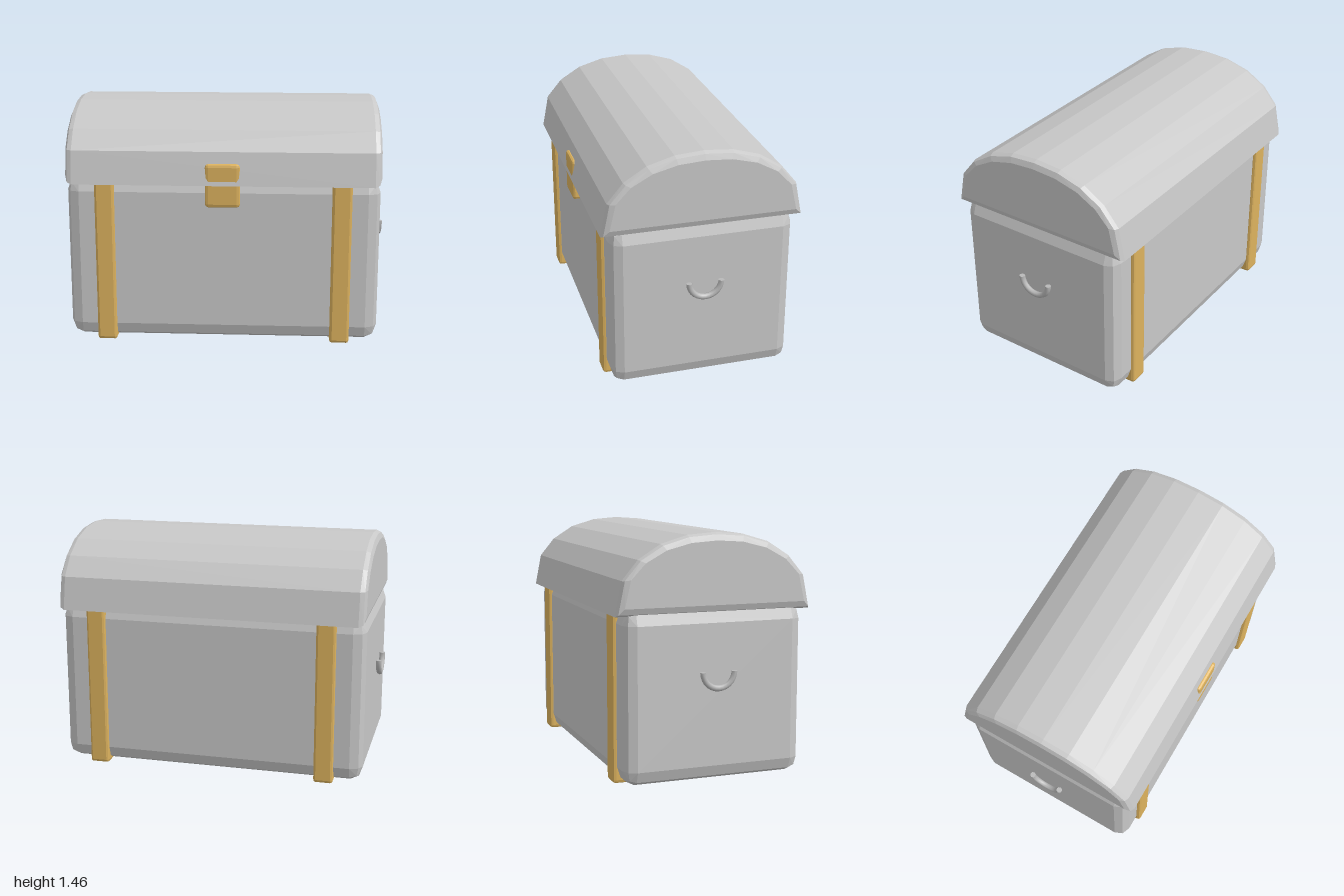
import * as THREE from 'three';
import { ConvexGeometry } from 'three/addons/geometries/ConvexGeometry.js';

const grey = new THREE.MeshStandardMaterial({ color: 0xc8c8c8 });
grey.name = 'chestGrey';
const gold = new THREE.MeshStandardMaterial({ color: 0xdcb25e });
gold.name = 'brassGold';
const iron = new THREE.MeshStandardMaterial({ color: 0xb8b8b8 });
iron.name = 'handleIron';
iron.side = THREE.DoubleSide;

// Box given by its limits, with two-step bevels of radius (rx, ry, rz)
function bevelBox([x0, x1], [y0, y1], [z0, z1], [rx, ry, rz]) {
  const dirs = [[1, 0, 0], [0, 1, 0], [0, 0, 1], [1, 1, 0], [1, 0, 1], [0, 1, 1], [1, 1, 1]];
  const points = [];
  for (const sx of [-1, 1]) for (const sy of [-1, 1]) for (const sz of [-1, 1]) {
    for (const d of dirs) {
      const l = Math.hypot(...d);
      points.push(new THREE.Vector3(
        (x0 + x1) / 2 + sx * ((x1 - x0) / 2 - rx + rx * d[0] / l),
        (y0 + y1) / 2 + sy * ((y1 - y0) / 2 - ry + ry * d[1] / l),
        (z0 + z1) / 2 + sz * ((z1 - z0) / 2 - rz + rz * d[2] / l)));
    }
  }
  return new ConvexGeometry(points);
}

// Arched lid: a half profile mirrored in z, shrinking towards both ends
function lidGeometry() {
  const half = [[0.6, 1.0], [0.56, 1.2], [0.465, 1.315], [0.33, 1.4], [0.17, 1.447], [0, 1.46]];
  const rings = [[0.91, 0], [0.937, 0.012], [0.95, 0.046]];
  const points = [];
  for (const [x, inset] of rings) {
    const sz = 1 - inset / 0.6, sy = 1 - inset / 0.23;
    for (const [z, y] of half) {
      for (const sx of [-1, 1]) for (const s of z ? [-1, 1] : [1]) {
        points.push(new THREE.Vector3(sx * x, 1.23 + (y - 1.23) * sy, s * z * sz));
      }
    }
  }
  return new ConvexGeometry(points);
}

export function createModel() {
  const group = new THREE.Group();
  group.name = 'chest';
  const add = (name, geometry, material) => {
    const mesh = new THREE.Mesh(geometry, material);
    mesh.name = name;
    group.add(mesh);
    return mesh;
  };

  add('body', bevelBox([-0.95, 0.95], [0.015, 1.035], [-0.55, 0.55], [0.075, 0.09, 0.07]), grey);
  add('lid', lidGeometry(), grey);
  add('lock', bevelBox([-0.105, 0.105], [0.865, 1.13], [0.53, 0.595], [0.02, 0.02, 0.015]), gold);

  for (const [side, s] of [['left', 1], ['right', -1]]) {
    // Strap wrapping the body, its top hidden under the lid
    add(side + 'Strap', bevelBox([s * 0.718 - 0.06, s * 0.718 + 0.06], [0.003, 1.03],
      [-0.573, 0.573], [0.015, 0.02, 0.02]), gold);

    // Half-ring handle hanging on the end
    const handle = add(side + 'Handle', new THREE.TorusGeometry(0.0975, 0.018, 8, 14, Math.PI), iron);
    handle.geometry.rotateZ(Math.PI).rotateY(Math.PI / 2);
    handle.position.set(s * 0.982, 0.667, 0);
    for (const e of [-1, 1]) {
      const cap = new THREE.Mesh(new THREE.CircleGeometry(0.018, 8), iron);
      cap.name = 'handleEnd';
      cap.geometry.rotateX(-Math.PI / 2);
      cap.position.z = e * 0.0975;
      handle.add(cap);
    }
  }
  return group;
}
